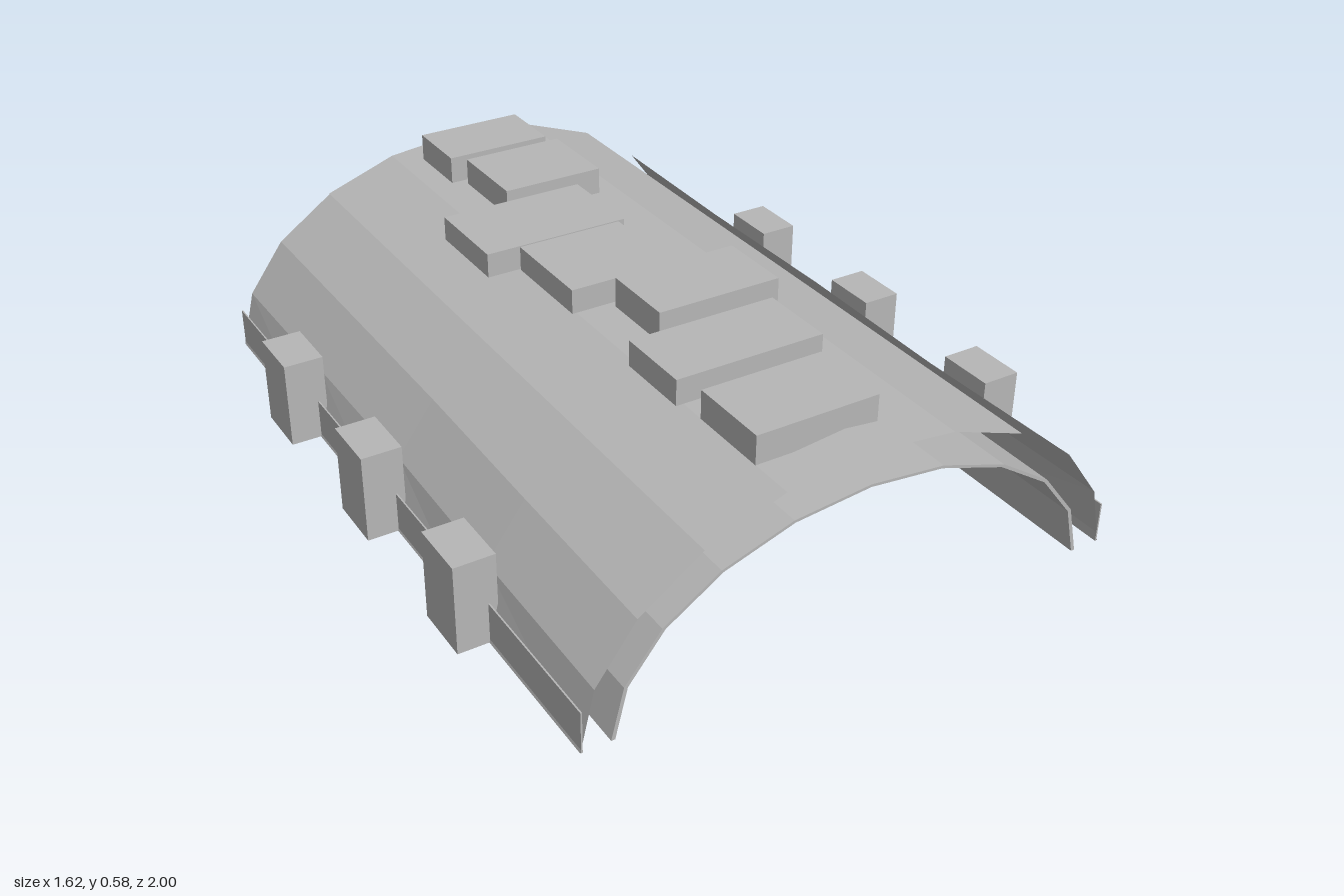
import * as THREE from 'three';

const RX = 0.73, RY = 0.51; // outer half-ellipse
const STATIONS = [-1, -0.5, 0, 0.5, 1];

// Point on a half ellipse, k = 0 (left base) to 10 (right base)
function arcPoint(rx, ry, k) {
  const a = (k * Math.PI) / 10;
  return [rx * Math.cos(a), ry * Math.sin(a)];
}

// Faceted sheet over profile steps k0..k1, pushed in slightly by dent(k, station)
function sheet(k0, k1, dent) {
  const pos = [];
  const point = (k, s) => {
    const d = 1 - dent(k, s);
    const [x, y] = arcPoint(RX * d, RY * d, k);
    return [x, y, STATIONS[s]];
  };
  for (let k = k0; k < k1; k++) {
    for (let s = 0; s < STATIONS.length - 1; s++) {
      const a = point(k, s), b = point(k, s + 1), c = point(k + 1, s + 1), d = point(k + 1, s);
      pos.push(...a, ...c, ...b, ...a, ...d, ...c);
    }
  }
  const geo = new THREE.BufferGeometry();
  geo.setAttribute('position', new THREE.Float32BufferAttribute(pos, 3));
  geo.computeVertexNormals();
  return geo;
}

export function createModel() {
  const model = new THREE.Group();
  model.name = 'archedShelter';
  const grey = new THREE.MeshStandardMaterial({ color: 0xb6b6b6, side: THREE.DoubleSide });
  grey.name = 'plainGrey';

  const add = (name, geo, x = 0, y = 0, z = 0) => {
    const mesh = new THREE.Mesh(geo, grey);
    mesh.name = name;
    mesh.position.set(x, y, z);
    model.add(mesh);
    return mesh;
  };

  // Inner lining: thin faceted arch along the whole length
  const outline = [];
  for (let k = 0; k <= 10; k++) outline.push(new THREE.Vector2(...arcPoint(0.655, 0.425, k)));
  for (let k = 10; k >= 0; k--) outline.push(new THREE.Vector2(...arcPoint(0.645, 0.418, k)));
  const lining = new THREE.ExtrudeGeometry(new THREE.Shape(outline), { depth: 2, bevelEnabled: false });
  add('innerArch', lining, 0, 0, -1);

  // Outer cover: an open strip separates the left wall from the roof
  const leftDents = [0, 0.008, 0.003, 0.012, 0];
  const rightDents = [0.004, 0.012, 0.018, 0.006, 0];
  add('leftWallPanel', sheet(0, 2, (k, s) => (k ? leftDents[s] : 0)));
  add('roofPanel', sheet(3, 7, () => 0));
  add('rightWallPanel', sheet(7, 10, (k, s) => (k < 10 ? rightDents[s] : 0)));

  // Upright boards and posts along both sides
  for (const side of [1, -1]) {
    const label = side > 0 ? 'left' : 'right';
    add(label + 'Skirt', new THREE.BoxGeometry(0.004, 0.11, 2), side * 0.726, 0.055, 0);
    for (const z of [-0.5, 0, 0.5]) {
      add(label + 'Post', new THREE.BoxGeometry(0.107, 0.24, 0.16), side * 0.757, 0.12, z);
    }
  }

  // Loose blocks along the crown: x0, x1, z0, z1, y0, y1
  const blocks = [
    [-0.17, 0.13, -0.9, -0.71, 0.5, 0.575],
    [-0.145, 0.14, -0.66, -0.42, 0.512, 0.585],
    [-0.34, 0.06, -0.4, -0.15, 0.5, 0.565],
    [-0.25, 0.04, -0.145, 0.125, 0.5, 0.565],
    [-0.145, 0.195, 0.155, 0.36, 0.505, 0.585],
    [-0.265, 0.135, 0.42, 0.625, 0.508, 0.576],
    [-0.235, 0.09, 0.68, 0.895, 0.495, 0.57],
  ];
  for (const [x0, x1, z0, z1, y0, y1] of blocks) {
    add('roofBlock', new THREE.BoxGeometry(x1 - x0, y1 - y0, z1 - z0),
      (x0 + x1) / 2, (y0 + y1) / 2, (z0 + z1) / 2);
  }

  // Small ceiling lamps
  for (const z of [-0.75, -0.25, 0.25, 0.75]) {
    add('ceilingLamp', new THREE.BoxGeometry(0.022, 0.008, 0.07), 0, 0.383, z);
  }

  return model;
}
